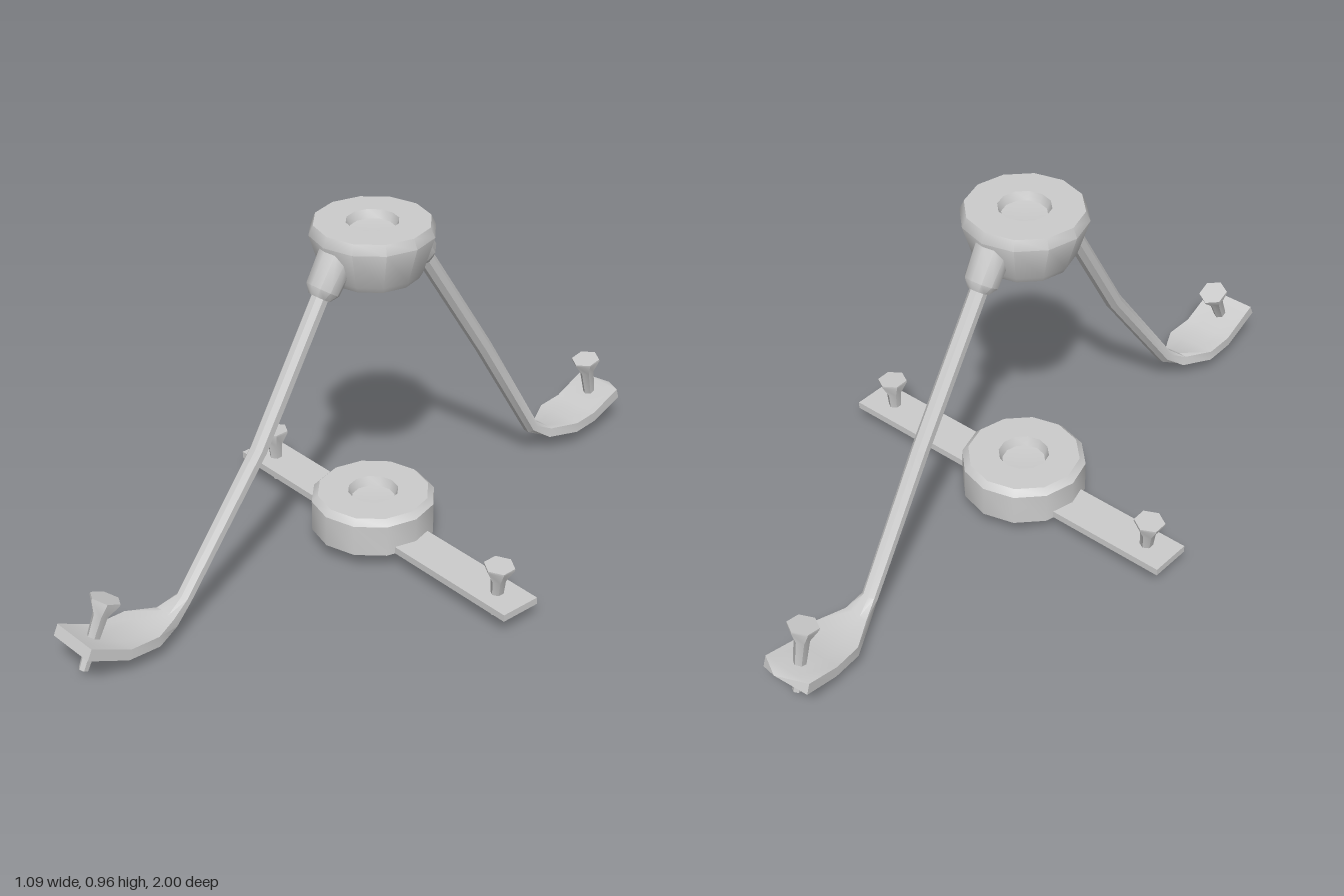
import * as THREE from 'three';
import { toCreasedNormals } from 'three/addons/utils/BufferGeometryUtils.js';

const CX = -0.033; // axis of the hubs
const material = new THREE.MeshStandardMaterial({ color: 0xcccccc, side: THREE.DoubleSide });

function part(name, geometry, crease = 0.65) {
  const mesh = new THREE.Mesh(toCreasedNormals(geometry, crease), material);
  mesh.name = name;
  return mesh;
}

function lathe(points, sides) {
  return new THREE.LatheGeometry(points.map(([r, y]) => new THREE.Vector2(r, y)), sides);
}

// Turned part standing on "from", its axis pointing at "to"
function aim(mesh, from, to) {
  const a = new THREE.Vector3(...from);
  const dir = new THREE.Vector3(...to).sub(a).normalize();
  mesh.position.copy(a);
  mesh.quaternion.setFromUnitVectors(new THREE.Vector3(0, 1, 0), dir);
  return mesh;
}

// Hexagonal screw with flared head, from tip to head
function screw(name, tip, head) {
  const L = new THREE.Vector3(...tip).distanceTo(new THREE.Vector3(...head));
  const profile = [[0, 0], [0.013, 0], [0.021, L - 0.045], [0.042, L - 0.006], [0.042, L], [0, L]];
  return aim(part(name, lathe(profile, 6)), tip, head);
}

// Leg lofted through rows of [z, y, x, halfWidth, halfThickness, squareness]
function legGeometry(rows, endPoint) {
  const pos = [], index = [], n = 8;
  const centres = rows.map(([z, y, x]) => new THREE.Vector3(x, y, z));
  const side = new THREE.Vector3(1, 0, 0);
  rows.forEach(([, , , w, h, k], i) => {
    const t = centres[Math.min(i + 1, rows.length - 1)].clone().sub(centres[Math.max(i - 1, 0)]);
    t.x = 0;
    t.normalize();
    const up = t.clone().cross(side);
    for (let j = 0; j < n; j++) {
      const a = (j + 0.5) * Math.PI / 4;
      const c = Math.cos(a), s = Math.sin(a);
      const corner = Math.abs(c) > 0.5;
      const u = corner ? THREE.MathUtils.lerp(c, Math.sign(c), k) : c;
      const v = THREE.MathUtils.lerp(s, Math.sign(s), k);
      const p = centres[i].clone().addScaledVector(side, u * w).addScaledVector(up, v * h);
      pos.push(p.x, p.y, p.z);
    }
  });
  for (let i = 0; i < rows.length - 1; i++) {
    for (let j = 0; j < n; j++) {
      const a = i * n + j, b = i * n + (j + 1) % n;
      index.push(a, b, b + n, a, b + n, a + n);
    }
  }
  // End caps
  const last = (rows.length - 1) * n, c0 = pos.length / 3;
  pos.push(...centres[0].toArray(), ...endPoint);
  for (let j = 0; j < n; j++) {
    const k = (j + 1) % n;
    index.push(c0, k, j, c0 + 1, last + j, last + k);
  }
  const g = new THREE.BufferGeometry();
  g.setAttribute('position', new THREE.Float32BufferAttribute(pos, 3));
  g.setIndex(index);
  return g;
}

export function createModel() {
  const model = new THREE.Group();

  // Upper hub: flared ring, dished on top and hollow underneath
  const upperHub = part('upperHub', lathe([
    [0, 0.925], [0.095, 0.925], [0.1, 0.815], [0.125, 0.815], [0.135, 0.832],
    [0.167, 0.935], [0.155, 0.962], [0.07, 0.962], [0.06, 0.94], [0, 0.935]], 12), 0.75);
  upperHub.position.x = CX;
  model.add(upperHub);

  // Lower hub: low drum with a dished top
  const lowerHub = part('lowerHub', lathe([
    [0, 0.048], [0.172, 0.048], [0.172, 0.138], [0.155, 0.155],
    [0.07, 0.155], [0.06, 0.13], [0, 0.125]], 12), 0.75);
  lowerHub.position.x = CX;
  model.add(lowerHub);

  // Strap under the lower hub, with a screw near each end
  const strap = part('baseStrap', new THREE.BoxGeometry(1.085, 0.02, 0.12));
  strap.position.y = 0.059;
  strap.rotation.set(0, -0.018, -0.003);
  model.add(strap);
  model.add(screw('leftStrapScrew', [0.452, 0, 0.01], [0.463, 0.155, 0.01]));
  model.add(screw('rightStrapScrew', [-0.455, 0, -0.007], [-0.467, 0.155, -0.007]));

  // Legs: round rod flattening into an upturned foot
  const frontRows = [
    [0.13, 0.89, -0.032, 0.024, 0.024, 0], [0.4, 0.445, -0.026, 0.024, 0.024, 0],
    [0.655, 0.105, -0.032, 0.022, 0.022, 0], [0.71, 0.068, -0.036, 0.037, 0.017, 0.7],
    [0.785, 0.065, -0.041, 0.075, 0.015, 1], [0.875, 0.067, -0.043, 0.074, 0.015, 1],
    [0.99, 0.121, -0.046, 0.073, 0.016, 1]];
  const backRows = [
    [-0.13, 0.89, -0.036, 0.024, 0.024, 0], [-0.425, 0.445, -0.041, 0.024, 0.024, 0],
    [-0.64, 0.1, -0.047, 0.022, 0.022, 0], [-0.695, 0.068, -0.051, 0.037, 0.017, 0.7],
    [-0.78, 0.065, -0.06, 0.074, 0.015, 1], [-0.865, 0.067, -0.067, 0.074, 0.015, 1],
    [-0.975, 0.102, -0.077, 0.075, 0.016, 1]];
  model.add(part('frontLeg', legGeometry(frontRows, [-0.046, 0.121, 0.99])));
  model.add(part('backLeg', legGeometry(backRows, [-0.06, 0.109, -1.0])));
  model.add(screw('frontFootScrew', [-0.047, 0.025, 0.965], [-0.042, 0.207, 0.887]));
  model.add(screw('backFootScrew', [-0.073, 0.018, -0.94], [-0.075, 0.218, -0.903]));

  // Sockets that hold the rods
  for (const s of [1, -1]) {
    const socket = part(s > 0 ? 'frontSocket' : 'backSocket', lathe([
      [0, 0], [0.03, 0], [0.046, 0.022], [0.052, 0.13], [0, 0.13]], 10));
    model.add(aim(socket, [CX, 0.803, s * 0.183], [CX, 0.92, s * 0.105]));
  }
  return model;
}
